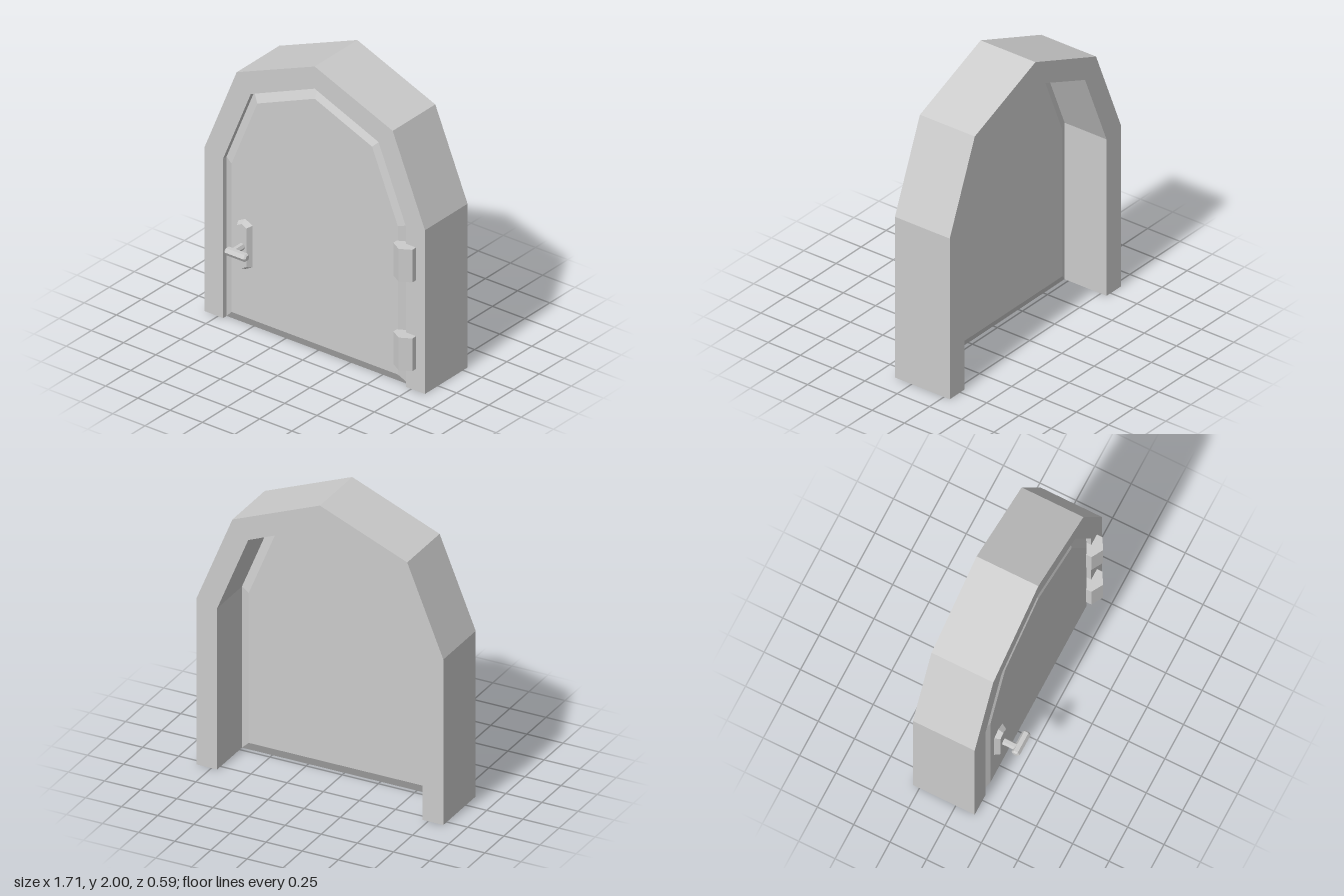
import * as THREE from 'three';

const material = new THREE.MeshStandardMaterial({ color: 0xcccccc, flatShading: true });

function add(parent, name, geometry, x = 0, y = 0, z = 0) {
  const mesh = new THREE.Mesh(geometry, material);
  mesh.name = name;
  mesh.position.set(x, y, z);
  parent.add(mesh);
  return mesh;
}

const toShape = (points) => new THREE.Shape(points.map(([x, y]) => new THREE.Vector2(x, y)));

// Pointed arch from bottom right, over the apex, to bottom left
function arch(half, spring, shoulderX, shoulderY, apex) {
  return [[half, 0], [half, spring], [shoulderX, shoulderY], [0, apex],
    [-shoulderX, shoulderY], [-half, spring], [-half, 0]];
}

// Slab whose rims are chamfered inwards from the given outline
function chamferedSlab(points, depth, inset, rise) {
  return new THREE.ExtrudeGeometry(toShape(points), {
    depth, bevelEnabled: true, bevelSegments: 1,
    bevelSize: inset, bevelOffset: -inset, bevelThickness: rise,
  });
}

export function createModel() {
  const model = new THREE.Group();
  model.name = 'archedDoor';

  const outer = arch(0.855, 1.145, 0.605, 1.755, 2);
  const inner = arch(0.71, 1.115, 0.495, 1.64, 1.845);

  // Deep frame, open at the floor
  const frameShape = toShape([...outer, ...inner.slice().reverse()]);
  add(model, 'frame',
    new THREE.ExtrudeGeometry(frameShape, { depth: 0.425, bevelEnabled: false }), 0, 0, -0.295);

  // Door leaf, flush with the front of the frame, chamfered on both faces
  add(model, 'doorPanel', chamferedSlab(inner, 0.065, 0.065, 0.035), 0, 0, 0.03);

  // Hexagonal hinges, half sunk into the frame
  for (const [name, y] of [['lowerHinge', 0.267], ['upperHinge', 0.887]]) {
    add(model, name, new THREE.CylinderGeometry(0.085, 0.085, 0.228, 6), 0.713, y, 0.125);
  }

  // Handle: back plate, spindle and lever
  const handle = new THREE.Group();
  handle.name = 'handle';
  handle.position.set(-0.538, 0.577, 0);
  model.add(handle);

  const plate = [[0.055, -0.146], [0.055, 0.146], [0, 0.175],
    [-0.055, 0.146], [-0.055, -0.146], [0, -0.175]];
  add(handle, 'handlePlate', chamferedSlab(plate, 0.01, 0.018, 0.035), 0, 0, 0.12);

  const spindle = new THREE.CylinderGeometry(0.023, 0.023, 0.12, 6);
  spindle.rotateY(Math.PI / 6).rotateX(Math.PI / 2);
  add(handle, 'handleSpindle', spindle, 0.004, 0, 0.205);

  const leverProfile = [[0, -0.082], [0.018, -0.082], [0.028, -0.072],
    [0.028, 0.072], [0.018, 0.082], [0, 0.082]].map(([r, y]) => new THREE.Vector2(r, y));
  const lever = new THREE.LatheGeometry(leverProfile, 6).rotateZ(Math.PI / 2);
  add(handle, 'handleLever', lever, 0.04, 0, 0.266);

  return model;
}
